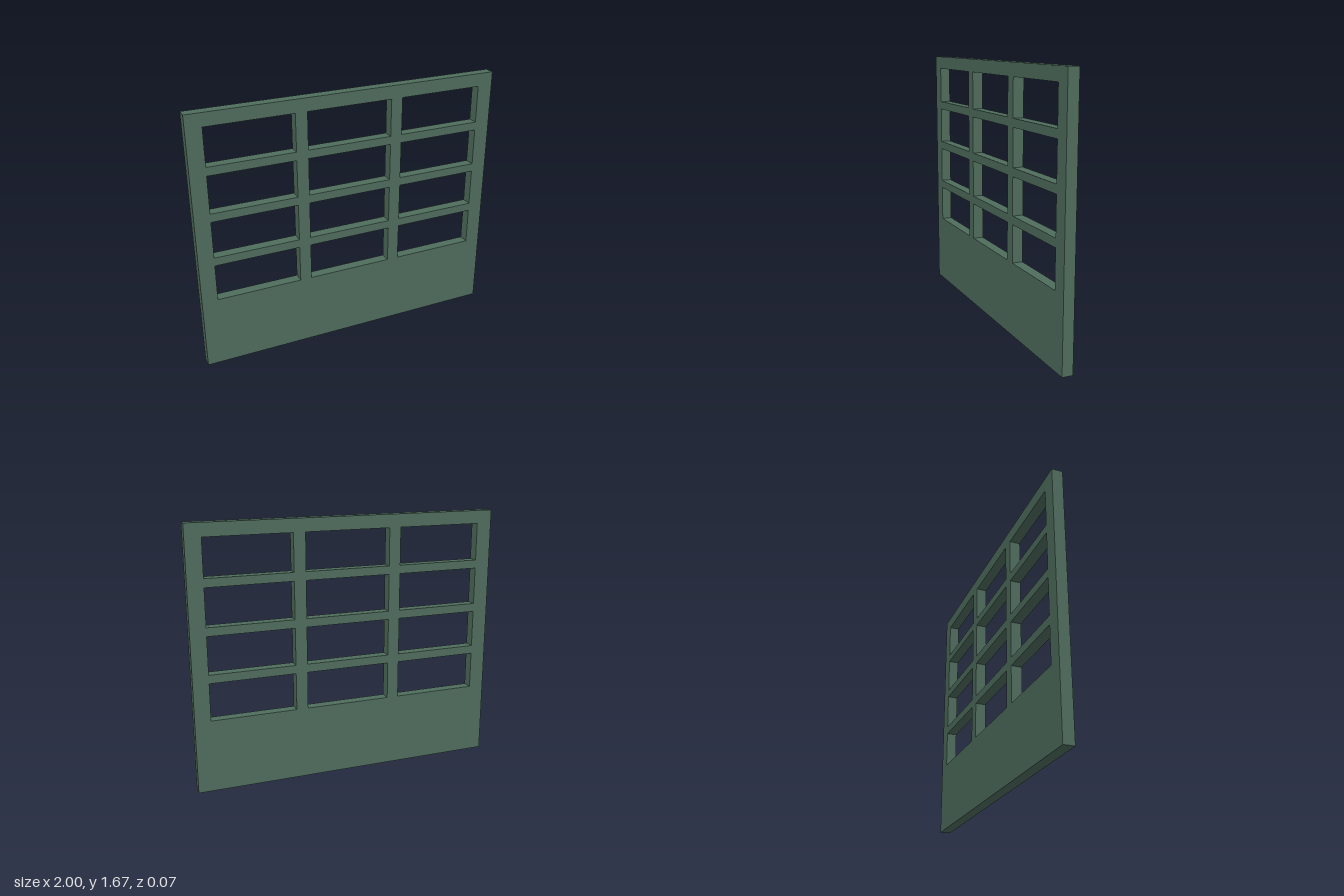
import * as THREE from 'three';

const WIDTH = 2, HEIGHT = 1.674, DEPTH = 0.068;
const PANE_H = 0.24, FIRST_PANE_Y = 0.467, PANE_PITCH = 0.2943, ROWS = 4;
const COLUMNS = [[-0.9, -0.352], [-0.276, 0.276], [0.352, 0.9]];

// Closed rectangle from two opposite corners
function trace(path, x0, y0, x1, y1) {
  path.moveTo(x0, y0);
  path.lineTo(x1, y0);
  path.lineTo(x1, y1);
  path.lineTo(x0, y1);
  path.closePath();
  return path;
}

export function createModel() {
  const group = new THREE.Group();
  group.name = 'windowPanel';
  const paint = new THREE.MeshStandardMaterial({ color: 0x4f6d5d });
  paint.name = 'greenPaint';

  // Solid panel with a grid of open panes above the kick plate
  const outline = trace(new THREE.Shape(), -WIDTH / 2, 0, WIDTH / 2, HEIGHT);
  for (let row = 0; row < ROWS; row++) {
    const y = FIRST_PANE_Y + row * PANE_PITCH;
    for (const [left, right] of COLUMNS) {
      outline.holes.push(trace(new THREE.Path(), left, y, right, y + PANE_H));
    }
  }
  const geometry = new THREE.ExtrudeGeometry(outline, { depth: DEPTH, bevelEnabled: false });
  geometry.translate(0, 0, -DEPTH / 2);

  const frame = new THREE.Mesh(geometry, paint);
  frame.name = 'frame';
  group.add(frame);
  return group;
}
